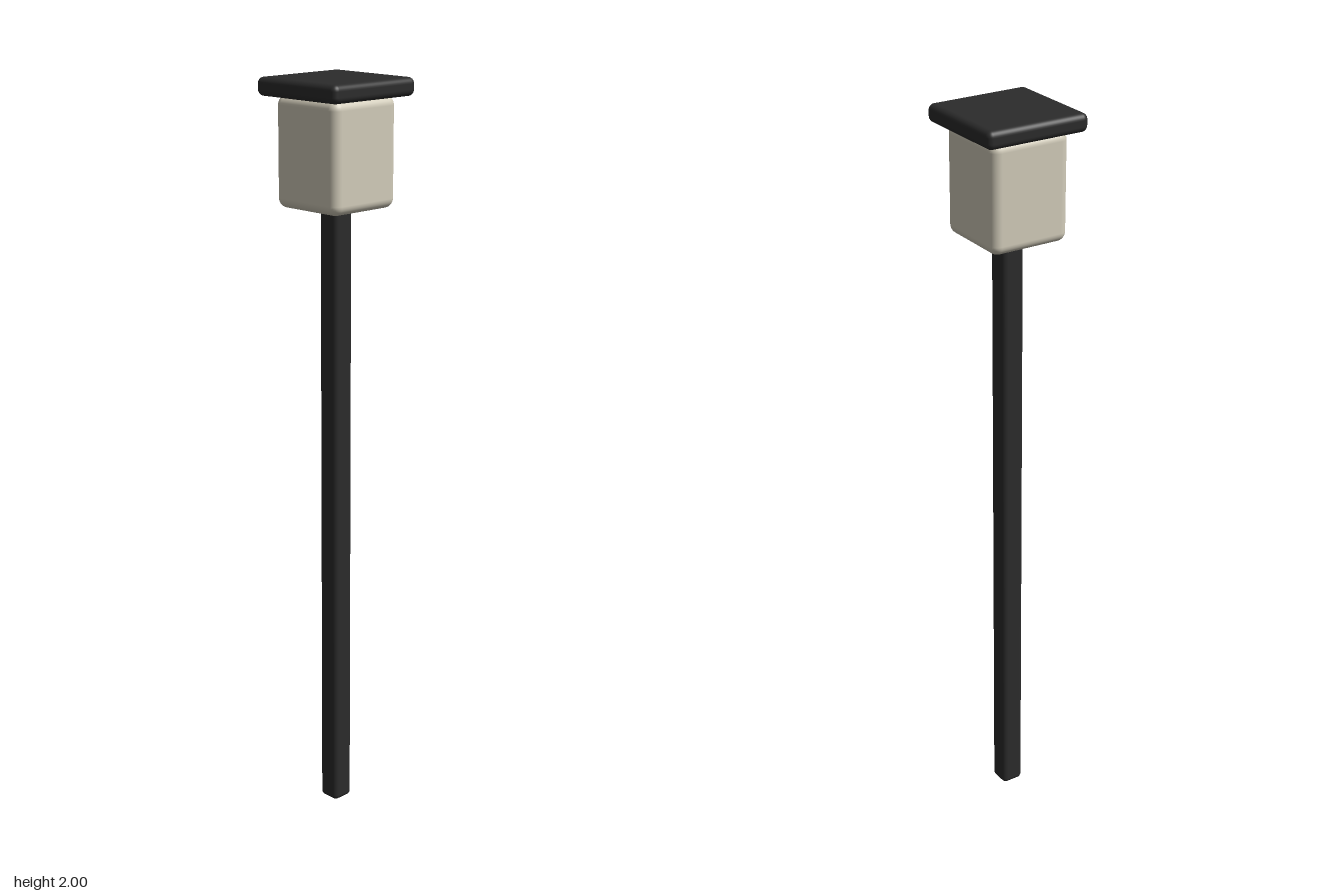
import * as THREE from 'three';
import { RoundedBoxGeometry } from 'three/addons/geometries/RoundedBoxGeometry.js';

export function createModel() {
  const group = new THREE.Group();
  group.name = 'lampPost';

  const darkMetal = new THREE.MeshStandardMaterial({ color: 0x2b2b2b });
  darkMetal.name = 'dark metal';
  const frostedGlass = new THREE.MeshStandardMaterial({ color: 0xd2ccba });
  frostedGlass.name = 'frosted glass';

  // Square rounded block spanning from bottom to top
  function addBlock(name, width, bottom, top, radius, material) {
    const geometry = new RoundedBoxGeometry(width, top - bottom, width, 4, radius);
    const mesh = new THREE.Mesh(geometry, material);
    mesh.name = name;
    mesh.position.y = (bottom + top) / 2;
    group.add(mesh);
  }

  addBlock('post', 0.063, 0, 1.69, 0.014, darkMetal);
  addBlock('lantern', 0.22, 1.672, 1.956, 0.025, frostedGlass);
  addBlock('cap', 0.285, 1.953, 2, 0.016, darkMetal);

  return group;
}
